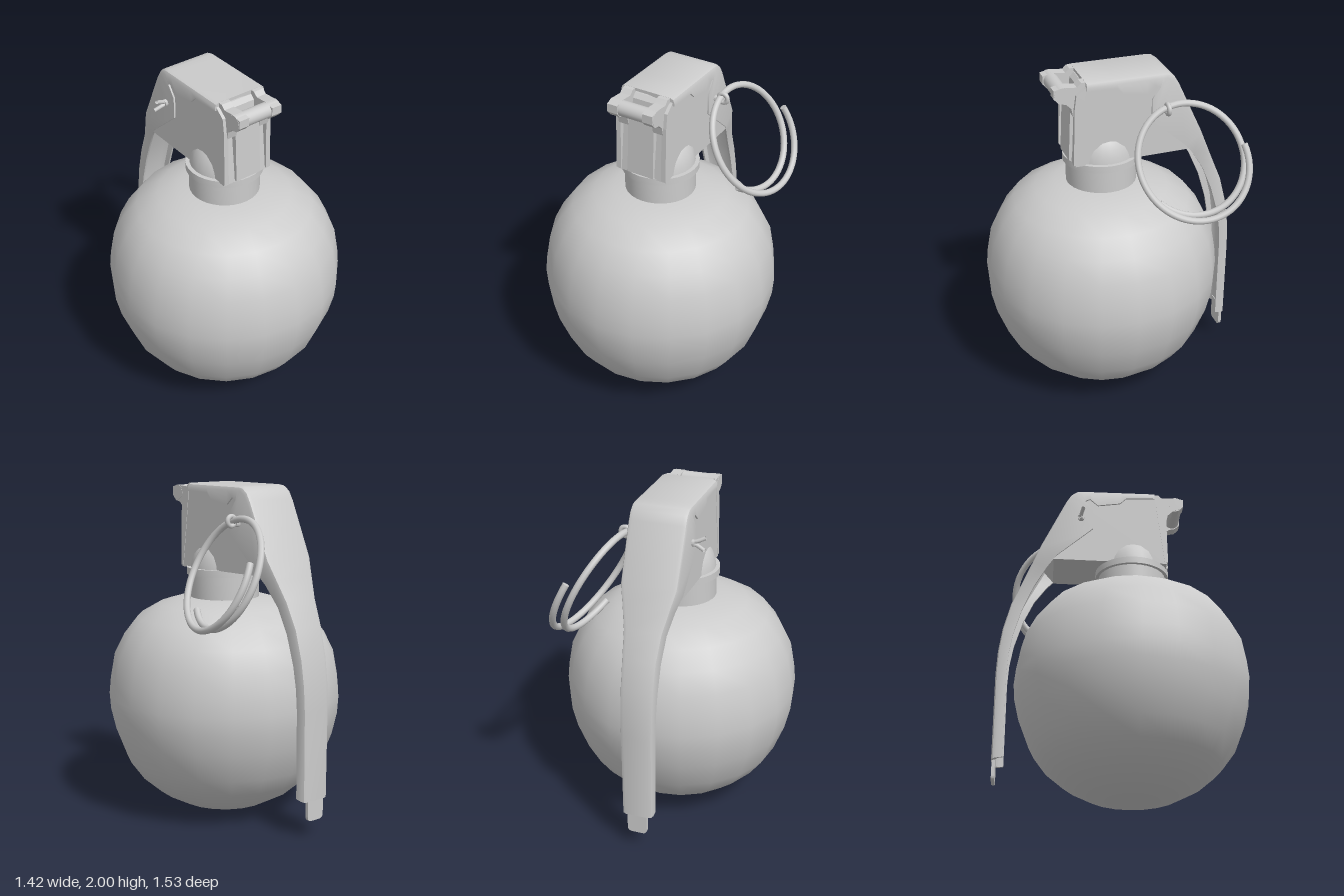
import * as THREE from 'three';
import { toCreasedNormals } from 'three/addons/utils/BufferGeometryUtils.js';

const grey = new THREE.MeshStandardMaterial({ color: 0xcccccc, side: THREE.DoubleSide });
const AXIS_Z = 0.055; // body axis

function add(group, name, geometry, x = 0, y = 0, z = 0) {
  const mesh = new THREE.Mesh(geometry, grey);
  mesh.name = name;
  mesh.position.set(x, y, z);
  group.add(mesh);
  return mesh;
}

function lathe(points, segments, crease = 0.6) {
  const geo = new THREE.LatheGeometry(points.map(p => new THREE.Vector2(...p)), segments);
  return toCreasedNormals(geo, crease);
}

// Side profile given as [z, y], extruded across x and centred on x = 0
function sideExtrude(points, width) {
  const shape = new THREE.Shape(points.map(p => new THREE.Vector2(...p)));
  const geo = new THREE.ExtrudeGeometry(shape, { depth: width, bevelEnabled: false });
  return geo.translate(0, 0, -width / 2).rotateY(-Math.PI / 2);
}

function rod(radius, length, segments = 16) {
  const geo = new THREE.CylinderGeometry(radius, radius, length, segments);
  return toCreasedNormals(geo.rotateZ(Math.PI / 2), 0.7);
}

// Lever: U-shaped channel lofted through stations
// [outer z, outer y, flange edge z, flange edge y, half width]
function leverGeometry() {
  const stations = [
    [0.19, 2.0, 0.19, 1.955, 0.173], [0.01, 2.0, 0.01, 1.95, 0.173],
    [-0.03, 2.0, -0.03, 1.91, 0.173], [-0.17, 2.0, -0.17, 1.89, 0.173],
    [-0.22, 2.0, -0.22, 1.935, 0.173], [-0.27, 2.0, -0.25, 1.92, 0.173],
    [-0.305, 1.995, -0.2, 1.85, 0.173], [-0.34, 1.97, -0.2, 1.72, 0.173],
    [-0.37, 1.92, -0.25, 1.675, 0.173], [-0.52, 1.6, -0.42, 1.525, 0.17],
    [-0.57, 1.49, -0.48, 1.45, 0.145], [-0.625, 1.37, -0.555, 1.33, 0.118],
    [-0.69, 1.22, -0.62, 1.18, 0.106], [-0.735, 1.05, -0.67, 1.01, 0.102],
    [-0.757, 0.9, -0.692, 0.88, 0.1], [-0.765, 0.75, -0.7, 0.75, 0.098],
    [-0.765, 0.22, -0.7, 0.23, 0.095],
  ];
  const t = 0.012, b = 0.026;
  const pos = [], index = [];
  for (const [oz, oy, iz, iy, hw] of stations) {
    const len = Math.hypot(iz - oz, iy - oy);
    const half = [[hw, len], [hw, b], [hw - 0.3 * b, 0.3 * b], [hw - b, 0]];
    const inner = [[hw - t, len], [hw - t, b + t], [hw - t - b, t + 0.006]];
    const mirror = list => list.map(([x, d]) => [-x, d]).reverse();
    const section = [...half, ...mirror(half), ...mirror(inner).reverse(), ...[...inner].reverse()];
    for (const [x, d] of section) pos.push(x, oy + (iy - oy) * d / len, oz + (iz - oz) * d / len);
  }
  const n = pos.length / 3 / stations.length;
  for (let i = 0; i < stations.length - 1; i++) {
    for (let j = 0; j < n; j++) {
      const a = i * n + j, c = i * n + (j + 1) % n;
      index.push(a, c, a + n, c, c + n, a + n);
    }
  }
  // End caps bridge the outer and inner walls
  for (const s of [0, n * (stations.length - 1)]) {
    const ring = [[0, 1, 12, 13], [1, 2, 3, 12], [3, 4, 11, 12], [4, 5, 10, 11], [5, 6, 9, 10], [6, 7, 8, 9]];
    for (const [a, c, d, e] of ring) {
      const q = s ? [a, c, d, e] : [e, d, c, a];
      index.push(s + q[0], s + q[1], s + q[2], s + q[0], s + q[2], s + q[3]);
    }
  }
  const geo = new THREE.BufferGeometry();
  geo.setAttribute('position', new THREE.Float32BufferAttribute(pos, 3));
  geo.setIndex(index);
  return toCreasedNormals(geo, 0.7);
}

// Split ring: a coil of about one and a half turns on a tilted plane
class RingCurve extends THREE.Curve {
  getPoint(u, target = new THREE.Vector3()) {
    const a = THREE.MathUtils.degToRad(162 + 509 * u);
    const dy = 0.298 * Math.sin(a), dz = 0.31 * Math.cos(a);
    return target.set(0.37 - 0.5 * dy - 0.18 * dz + 0.05 - 0.1 * u, 1.525 + dy, -0.375 + dz);
  }
}

export function createModel() {
  const model = new THREE.Group();
  model.name = 'grenade';

  // Round body
  add(model, 'body', lathe([
    [0, 0], [0.14, 0], [0.28, 0.04], [0.42, 0.115], [0.53, 0.21], [0.61, 0.32], [0.675, 0.49],
    [0.705, 0.62], [0.712, 0.72], [0.702, 0.82], [0.675, 0.97], [0.615, 1.09], [0.53, 1.2],
    [0.4, 1.275], [0.28, 1.31], [0.18, 1.32],
  ], 20), 0, 0, AXIS_Z);

  // Neck with collar, and the dome it carries
  add(model, 'neck', lathe([
    [0.21, 1.28], [0.21, 1.455], [0.23, 1.455], [0.23, 1.497], [0.205, 1.497], [0, 1.497],
  ], 32), 0, 0, AXIS_Z);
  add(model, 'dome', lathe([
    [0.207, 1.49], [0.202, 1.53], [0.188, 1.575], [0.168, 1.615], [0.13, 1.66], [0, 1.7],
  ], 24), 0, 0, AXIS_Z);

  // Fuse housing with a raised front rib
  add(model, 'fuseHousing', sideExtrude([
    [0.262, 1.49], [0.215, 1.95], [0.19, 1.975], [-0.29, 1.975], [-0.33, 1.94], [-0.5, 1.575], [-0.44, 1.5],
  ], 0.325));
  add(model, 'frontRib', sideExtrude([[0.277, 1.5], [0.262, 1.86], [0.2, 1.9], [0.2, 1.5]], 0.17));

  // Front cheeks, hinge arms and hinge pin
  for (const side of [-1, 1]) {
    add(model, 'frontCheek', sideExtrude([
      [0.27, 1.5], [0.262, 1.84], [0.25, 1.93], [0.2, 1.97], [0.2, 1.9], [0.25, 1.5],
    ], 0.03), side * 0.15);
    add(model, 'hingeArm', sideExtrude([
      [0.17, 2.0], [0.215, 1.998], [0.24, 1.975], [0.32, 1.982], [0.375, 1.97], [0.375, 1.92],
      [0.345, 1.888], [0.305, 1.88], [0.275, 1.85], [0.264, 1.8], [0.2, 1.8],
    ], 0.065), side * 0.113);
  }
  add(model, 'hingePin', rod(0.045, 0.295, 20), 0, 1.937, 0.325);

  // Lever and its narrow tip
  add(model, 'lever', leverGeometry());
  const tip = new THREE.Shape();
  tip.moveTo(-0.06, 0.26).lineTo(-0.06, 0.13).quadraticCurveTo(-0.06, 0.1, -0.03, 0.1);
  tip.lineTo(0.03, 0.1).quadraticCurveTo(0.06, 0.1, 0.06, 0.13).lineTo(0.06, 0.26);
  add(model, 'leverTip', new THREE.ExtrudeGeometry(tip, { depth: 0.02, bevelEnabled: false }), 0, 0, -0.762);

  // Safety pin with spread ends and an eye for the ring
  add(model, 'safetyPin', rod(0.02, 0.39, 12), 0.005, 1.79, -0.275);
  for (const s of [-1, 1]) {
    const prong = new THREE.CatmullRomCurve3([
      new THREE.Vector3(-0.17, 1.79 + s * 0.006, -0.275),
      new THREE.Vector3(-0.2, 1.79 + s * 0.012, -0.275),
      new THREE.Vector3(-0.248, 1.79 + s * 0.033, -0.275 + s * 0.012),
    ]);
    add(model, 'pinProng', new THREE.TubeGeometry(prong, 8, 0.012, 8));
  }
  add(model, 'pinEye', new THREE.TorusGeometry(0.028, 0.014, 10, 20), 0.225, 1.805, -0.275);

  // Pull ring with flat ends
  const ring = new RingCurve();
  add(model, 'pullRing', new THREE.TubeGeometry(ring, 96, 0.02, 10));
  for (const u of [0, 1]) {
    const end = add(model, 'ringEnd', new THREE.CircleGeometry(0.02, 10), ...ring.getPoint(u).toArray());
    end.lookAt(ring.getPoint(u).addScaledVector(ring.getTangent(u), u ? 1 : -1));
  }
  return model;
}
